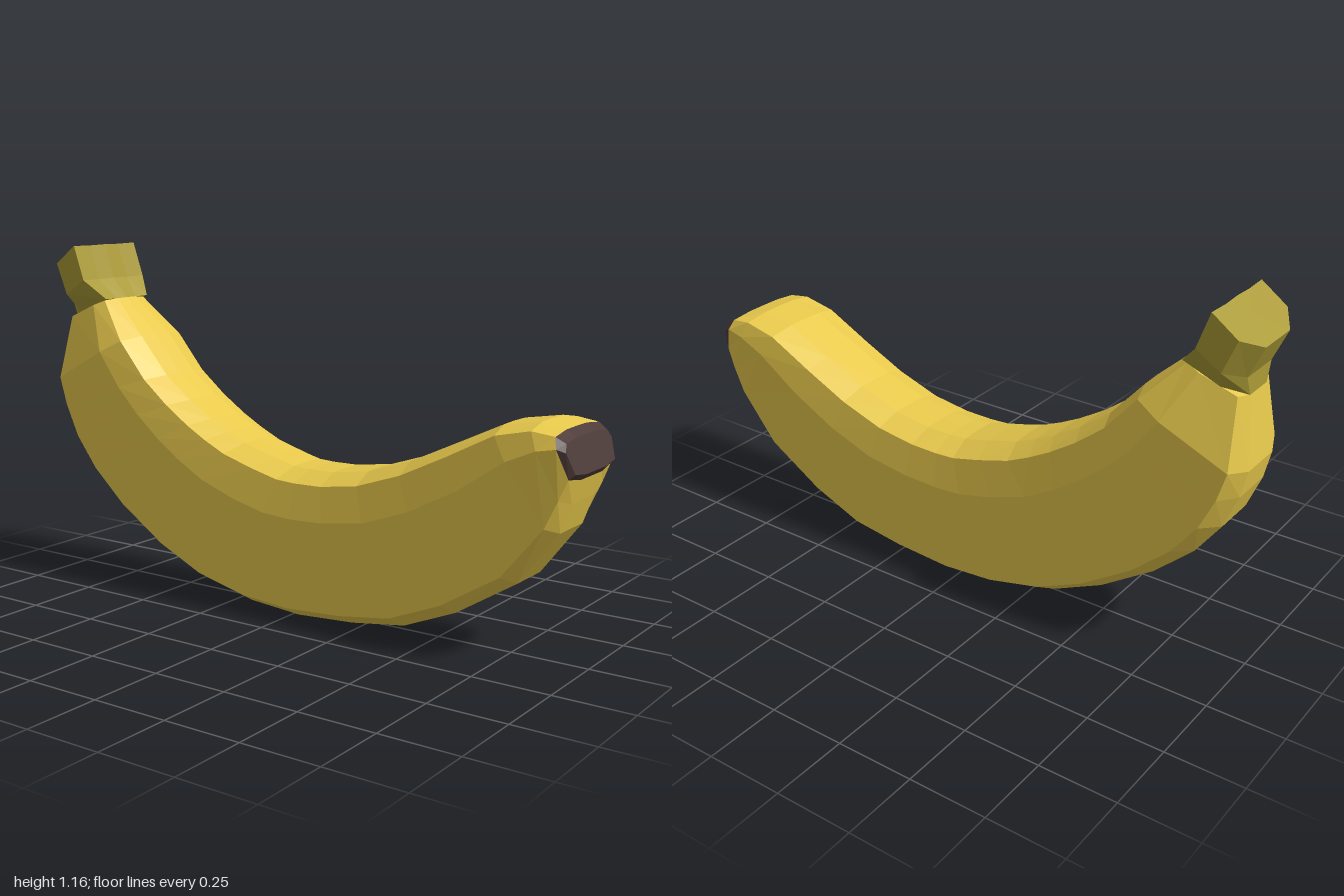
import * as THREE from 'three';

// Half sections: [position from outer curve (0) to inner curve (1), half width]
const BODY = [[0, 0.075], [0.085, 0.15], [0.7, 0.171], [0.93, 0.152], [0.995, 0.07], [1, 0]];
const STEM = [[0, 0.075], [0.35, 0.15], [1, 0.15], [0.985, 0.07], [1, 0]];

// Stations along the fruit: [outer x, outer y, inner x, inner y, width scale]
const NECK = [-0.957, 0.91, -0.77, 0.985, 0.64];
const TIP = [0.985, 0.572, 0.935, 0.71, 0.96];
const BODY_STATIONS = [
  NECK,
  [-0.985, 0.69, -0.64, 0.865, 1],
  [-0.965, 0.6, -0.53, 0.74, 1],
  [-0.92, 0.49, -0.43, 0.665, 1],
  [-0.84, 0.38, -0.34, 0.61, 1],
  [-0.71, 0.26, -0.27, 0.575, 1],
  [-0.53, 0.14, -0.2, 0.545, 1],
  [-0.36, 0.06, -0.09, 0.515, 1],
  [-0.17, 0.015, 0, 0.493, 1],
  [0.02, 0, 0.06, 0.49, 1],
  [0.23, 0.013, 0.15, 0.491, 1],
  [0.42, 0.04, 0.28, 0.51, 1],
  [0.6, 0.115, 0.43, 0.56, 1],
  [0.8, 0.24, 0.58, 0.63, 1],
  [0.93, 0.41, 0.74, 0.705, 1],
  [0.962, 0.5, 0.86, 0.725, 0.99],
  TIP,
];
const STEM_STATIONS = [
  [-1, 1.07, -0.87, 1.165, 1],
  [-0.955, 0.97, -0.83, 1.05, 1],
  [...NECK.slice(0, 4), 0.69],
];
const TIP_STATIONS = [TIP, [1, 0.59, 0.965, 0.69, 0.9]];

// Closed loft through mirrored half sections, faceted, with capped ends
function loft(stations, half) {
  const section = [
    ...half,
    ...half.filter(([, z]) => z > 0).reverse().map(([t, z]) => [t, -z]),
  ];
  const n = section.length;
  const rings = stations.map(([ox, oy, ix, iy, w]) => section.map(([t, z]) =>
    new THREE.Vector3(ox + (ix - ox) * t, oy + (iy - oy) * t, z * w)));
  const points = [];
  for (let i = 0; i < rings.length - 1; i++) {
    for (let j = 0; j < n; j++) {
      const k = (j + 1) % n;
      const a = rings[i][j], b = rings[i][k];
      const c = rings[i + 1][k], d = rings[i + 1][j];
      points.push(a, d, c, a, c, b);
    }
  }
  const first = rings[0], last = rings[rings.length - 1];
  const centre = (ring) => ring.reduce((s, p) => s.add(p), new THREE.Vector3()).divideScalar(n);
  const c0 = centre(first), c1 = centre(last);
  for (let j = 0; j < n; j++) {
    const k = (j + 1) % n;
    points.push(c0, first[j], first[k], c1, last[k], last[j]);
  }
  const geometry = new THREE.BufferGeometry().setFromPoints(points);
  geometry.computeVertexNormals();
  return geometry;
}

function part(name, stations, half, color) {
  const material = new THREE.MeshStandardMaterial({ color, flatShading: true });
  const mesh = new THREE.Mesh(loft(stations, half), material);
  mesh.name = name;
  return mesh;
}

export function createModel() {
  const group = new THREE.Group();
  group.name = 'banana';
  group.add(
    part('peel', BODY_STATIONS, BODY, 0xe8c94c),
    part('stem', STEM_STATIONS, STEM, 0xaa9a36),
    part('blossomTip', TIP_STATIONS, BODY, 0x4d3b39),
  );
  return group;
}
